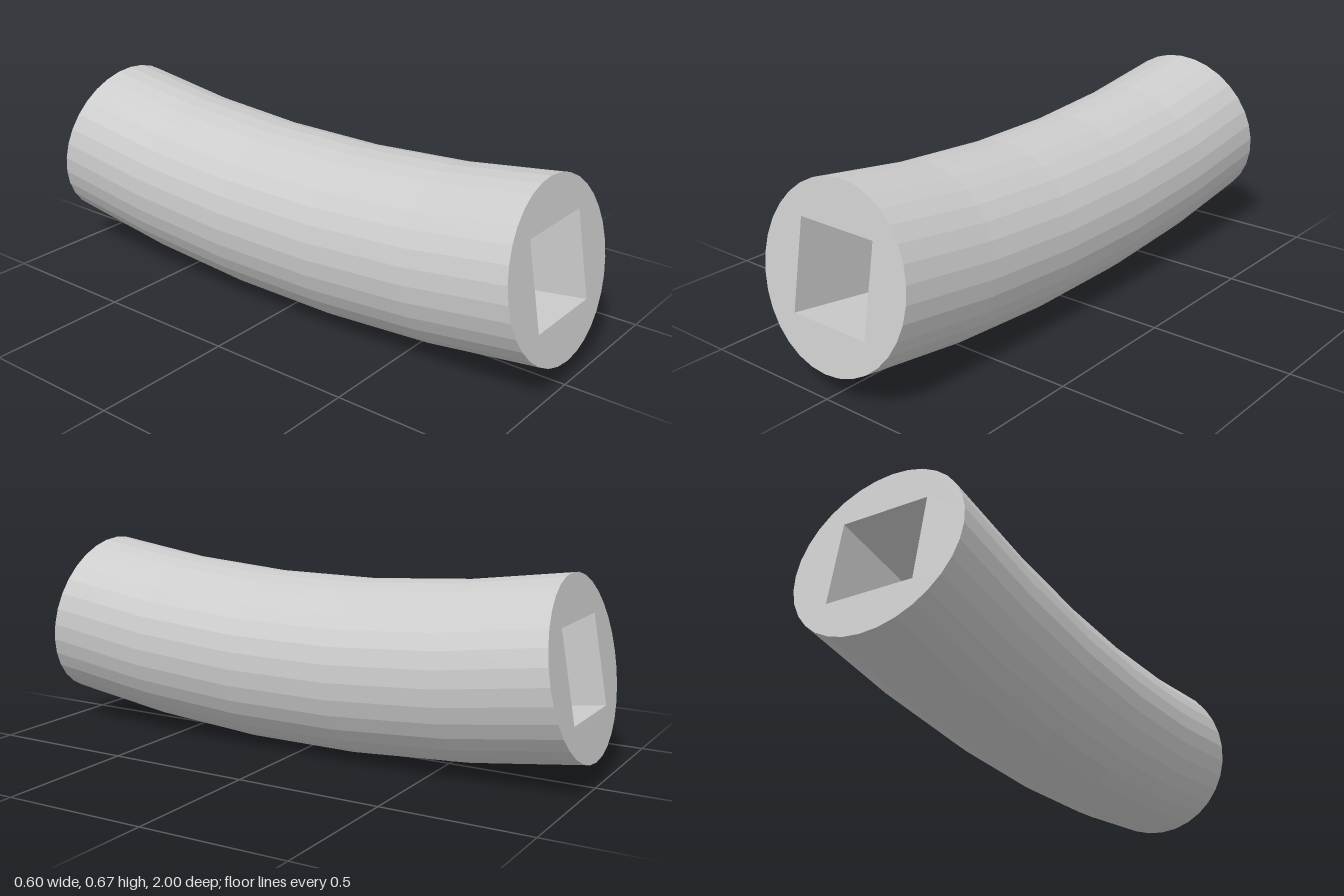
import * as THREE from 'three';

const BEND = 5.462;      // radius of the bent centre line
const TOP = 5.76;        // height of the bend centre
const RADIUS = 0.298;
const HALF = 0.15;       // half width of the square bore
const END = THREE.MathUtils.degToRad(10);

// Places a cross-section point (u across, v up) at an angle along the bend
function bend(u, v, angle) {
  const r = BEND - v;
  return [u, TOP - r * Math.cos(angle), r * Math.sin(angle)];
}

// Wall swept along the bend; counter-clockwise profiles face out, clockwise face in
function sweep(profile, steps) {
  const n = profile.length, positions = [], index = [];
  for (let s = 0; s <= steps; s++) {
    const angle = END * (2 * s / steps - 1);
    for (const p of profile) positions.push(...bend(p.x, p.y, angle));
  }
  for (let s = 0; s < steps; s++) {
    for (let i = 0; i < n; i++) {
      const a = s * n + i, b = s * n + (i + 1) % n;
      index.push(a, b, b + n, a, b + n, a + n);
    }
  }
  const geometry = new THREE.BufferGeometry();
  geometry.setAttribute('position', new THREE.Float32BufferAttribute(positions, 3));
  geometry.setIndex(index);
  return geometry;
}

// Flat end face with the square opening
function endFace(circle, square, side) {
  const shape = new THREE.Shape(circle);
  shape.holes.push(new THREE.Path(square));
  const geometry = new THREE.ShapeGeometry(shape);
  const pos = geometry.attributes.position;
  for (let i = 0; i < pos.count; i++) {
    pos.setXYZ(i, ...bend(pos.getX(i), pos.getY(i), side * END));
  }
  if (side < 0) geometry.index.array.reverse();
  return geometry;
}

export function createModel() {
  const group = new THREE.Group();
  group.name = 'curvedTube';
  const material = new THREE.MeshStandardMaterial({ color: 0xcccccc, flatShading: true });
  const add = (name, geometry) => {
    const flat = geometry.toNonIndexed();
    flat.computeVertexNormals();
    const mesh = new THREE.Mesh(flat, material);
    mesh.name = name;
    group.add(mesh);
  };

  const circle = Array.from({ length: 32 }, (_, i) => {
    const a = i / 32 * Math.PI * 2;
    return new THREE.Vector2(RADIUS * Math.cos(a), RADIUS * Math.sin(a));
  });
  const square = [[-1, -1], [-1, 1], [1, 1], [1, -1]]
    .map(([x, y]) => new THREE.Vector2(x * HALF, y * HALF));

  add('outerWall', sweep(circle, 5));
  add('squareBore', sweep(square, 6));
  add('frontEnd', endFace(circle, square, 1));
  add('backEnd', endFace(circle, square, -1));
  return group;
}
